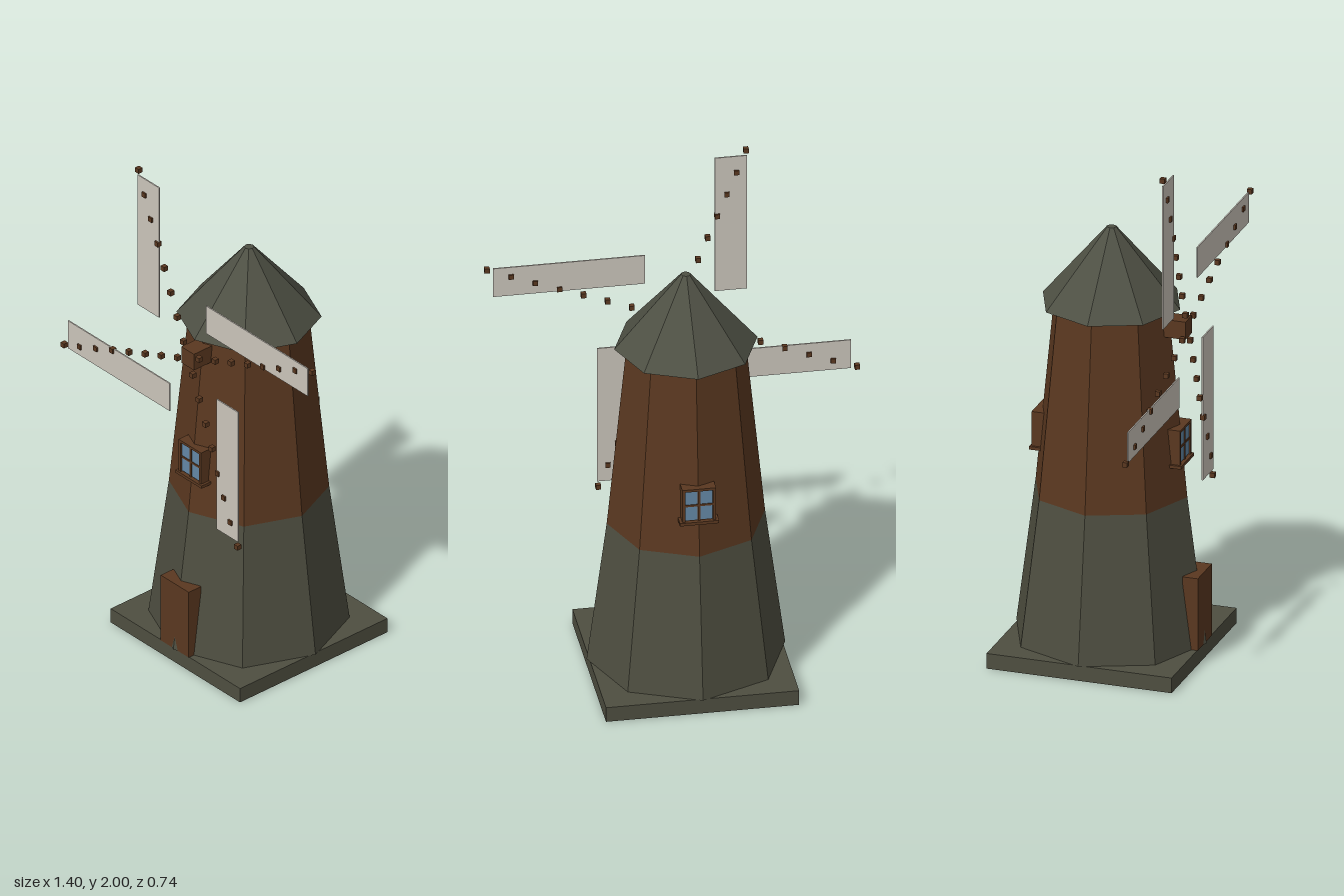
import * as THREE from 'three';

const material = (name, color) => {
  const m = new THREE.MeshStandardMaterial({ color });
  m.name = name;
  return m;
};

export function createModel() {
  const model = new THREE.Group();
  model.name = 'windmill';
  const stone = material('stone', 0x4e4e40);
  const roofing = material('roofing', 0x4e5044);
  const wood = material('wood', 0x5a3820);
  const glass = material('glass', 0x6488a6);
  const canvas = material('canvas', 0xcbc5bb);

  function add(parent, name, geometry, mat, x = 0, y = 0, z = 0) {
    const mesh = new THREE.Mesh(geometry, mat);
    mesh.name = name;
    mesh.position.set(x, y, z);
    parent.add(mesh);
    return mesh;
  }
  const box = (parent, name, mat, w, h, d, x, y, z) =>
    add(parent, name, new THREE.BoxGeometry(w, h, d), mat, x, y, z);

  // Faceted eight-sided section with ridges on the x and z axes
  function octagon(name, mat, rTop, rBottom, y0, y1) {
    const g = new THREE.CylinderGeometry(rTop, rBottom, y1 - y0, 8).toNonIndexed();
    g.computeVertexNormals();
    return add(model, name, g, mat, 0, (y0 + y1) / 2, 0);
  }

  // Plinth, two-part tower and roof
  box(model, 'base', stone, 0.72, 0.06, 0.72, 0, 0.03, 0);
  octagon('lowerTower', stone, 0.295, 0.37, 0.06, 0.63);
  octagon('upperTower', wood, 0.222, 0.295, 0.63, 1.37);
  octagon('roof', roofing, 0.018, 0.267, 1.37, 1.665);

  // Door
  box(model, 'door', wood, 0.156, 0.285, 0.06, 0, 0.2025, 0.333);

  // Front and back windows
  for (const [name, turn] of [['frontWindow', 0], ['backWindow', Math.PI]]) {
    const win = new THREE.Group();
    win.name = name;
    win.rotation.y = turn;
    win.position.y = 0.845;
    model.add(win);
    box(win, 'windowBody', wood, 0.126, 0.14, 0.045, 0, 0, 0.2575);
    box(win, 'sill', wood, 0.146, 0.012, 0.05, 0, -0.072, 0.271);
    for (const s of [-1, 1]) {
      box(win, 'frameSide', wood, 0.012, 0.14, 0.012, s * 0.057, 0, 0.283);
      for (const t of [-1, 1])
        box(win, 'pane', glass, 0.045, 0.058, 0.004, s * 0.0275, t * 0.033, 0.282);
    }
    box(win, 'frameTop', wood, 0.126, 0.01, 0.012, 0, 0.065, 0.283);
    box(win, 'mullion', wood, 0.008, 0.13, 0.01, 0, 0, 0.282);
    box(win, 'crossbar', wood, 0.11, 0.008, 0.01, 0, 0, 0.282);
  }

  // Hub and four sails, each with a dotted spar of small blocks
  const rotor = new THREE.Group();
  rotor.name = 'rotor';
  rotor.position.set(0, 1.303, 0.297);
  model.add(rotor);
  box(rotor, 'hub', wood, 0.07, 0.07, 0.1, 0, 0, -0.047);
  for (let i = 0; i < 4; i++) {
    const arm = new THREE.Group();
    arm.name = 'sailArm';
    arm.rotation.z = (i * Math.PI) / 2;
    rotor.add(arm);
    box(arm, 'sail', canvas, 0.12, 0.567, 0.005, -0.219, 0.384, 0);
    for (let k = 0; k < 8; k++)
      box(arm, 'sparBlock', wood, 0.019, 0.019, 0.019, -0.026 - k * 0.0356, 0.06 + k * 0.09, 0);
  }
  return model;
}
